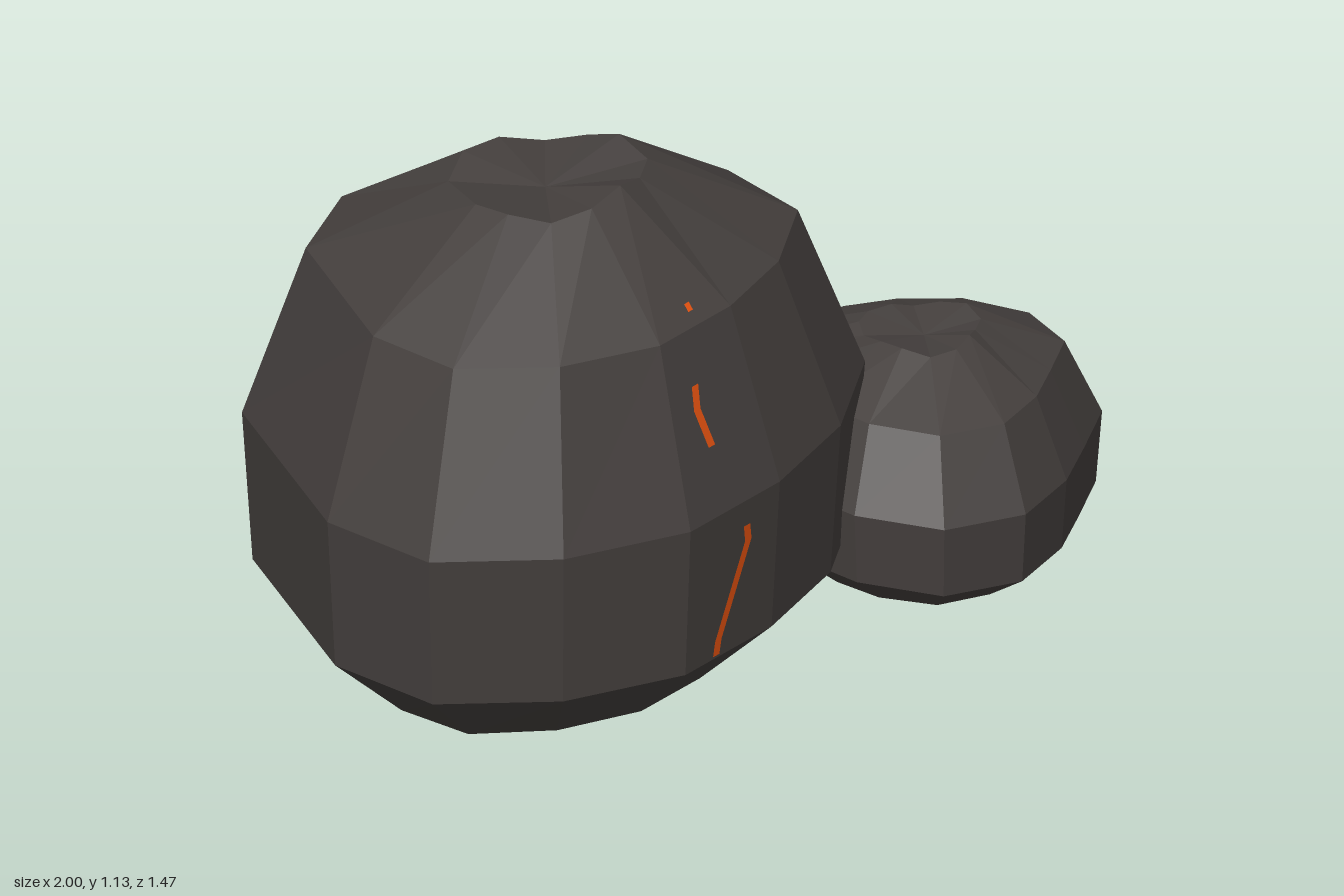
import * as THREE from 'three';

const rockMat = new THREE.MeshStandardMaterial({ color: 0x443f3d });
rockMat.name = 'charcoal rock';
rockMat.flatShading = true;
const emberMat = new THREE.MeshStandardMaterial({ color: 0xe0500f, side: THREE.DoubleSide });
emberMat.name = 'ember orange';

// Widest outline of each boulder as [x, z], its centre, and levels as [height, outline scale]
const boulders = [
  {
    name: 'largeBoulder', centre: [-0.3, 0.05], dip: 1.08, rough: 0.016,
    levels: [[0, 0.66], [0.185, 0.965], [0.535, 1], [0.925, 0.79], [1.112, 0.32]],
    outline: [[-0.47, -0.55], [-0.15, -0.52], [0.14, -0.37], [0.33, -0.15], [0.41, 0.06], [0.38, 0.35],
      [0.125, 0.52], [-0.16, 0.61], [-0.47, 0.64], [-0.76, 0.54], [-0.98, 0.35], [-1, 0.07], [-0.76, -0.41]],
  },
  {
    name: 'mediumBoulder', centre: [0.59, 0.325], dip: 0.505, rough: 0.008,
    levels: [[0, 0.65], [0.1, 0.965], [0.265, 1], [0.445, 0.79], [0.527, 0.32]],
    outline: [[0.47, -0.08], [0.66, -0.04], [0.8, 0.03], [0.93, 0.15], [1, 0.33], [0.95, 0.51], [0.8, 0.6],
      [0.66, 0.68], [0.48, 0.73], [0.3, 0.66], [0.21, 0.48], [0.2, 0.3], [0.24, 0.1], [0.33, -0.03]],
  },
  {
    name: 'smallBoulder', centre: [0.23, -0.47], dip: 0.33, rough: 0.006,
    levels: [[0, 0.65], [0.06, 0.965], [0.168, 1], [0.285, 0.79], [0.347, 0.32]],
    outline: [[0.16, -0.735], [0.275, -0.725], [0.41, -0.68], [0.515, -0.6], [0.53, -0.47], [0.49, -0.36],
      [0.425, -0.28], [0.3, -0.21], [0.15, -0.2], [0.03, -0.25], [-0.05, -0.36], [-0.06, -0.47],
      [-0.055, -0.585], [0.03, -0.69]],
  },
];

function meshFrom(name, positions, index, material) {
  const geometry = new THREE.BufferGeometry();
  geometry.setAttribute('position', new THREE.Float32BufferAttribute(positions, 3));
  geometry.setIndex(index);
  geometry.computeVertexNormals();
  const mesh = new THREE.Mesh(geometry, material);
  mesh.name = name;
  return mesh;
}

// Stacked rings, closed by a flat base and a shallow hollow on top
function boulder({ name, centre: [cx, cz], dip, rough, levels, outline }) {
  const n = outline.length, top = levels.length - 1;
  const positions = [], index = [];
  levels.forEach(([y, s], level) => {
    outline.forEach(([x, z], i) => {
      let h = y;
      if (level === top) h += rough * Math.sin(i * 1.9 + 0.6);
      else if (level > 0) h -= (z - cz) * 0.035;
      positions.push(cx + (x - cx) * s, h, cz + (z - cz) * s);
    });
  });
  const base = n * levels.length, hollow = base + 1;
  positions.push(cx, 0, cz, cx, dip, cz);
  for (let i = 0; i < n; i++) {
    const j = (i + 1) % n;
    for (let level = 0; level < top; level++) {
      const a = level * n, b = a + n;
      index.push(a + i, b + i, a + j, a + j, b + i, b + j);
    }
    index.push(base, i, j, hollow, top * n + j, top * n + i);
  }
  return meshFrom(name, positions, index, rockMat);
}

// Depth of the large boulder's front face at a point
function frontZ(x, y) {
  const { centre: [cx, cz], levels } = boulders[0];
  const rings = levels.map(([h, s], i) => [i > 0 && i < 4 ? h - 0.02 : h, s]);
  let k = 0;
  while (k < 3 && y > rings[k + 1][0]) k++;
  const [y0, s0] = rings[k], [y1, s1] = rings[k + 1];
  const s = s0 + (s1 - s0) * (y - y0) / (y1 - y0);
  const xOutline = cx + (x - cx) / s;
  return cz + s * (0.64 - 0.097 * (xOutline + 0.47) - cz);
}

// Thin ribbon following the rock face
function crack(name, path, width) {
  const positions = [], index = [];
  path.forEach(([x, y], i) => {
    for (const side of [-1, 1]) {
      const px = x + side * width / 2;
      positions.push(px, y, frontZ(px, y) + 0.006);
    }
    if (i > 0) {
      const a = i * 2 - 2;
      index.push(a, a + 1, a + 2, a + 1, a + 3, a + 2);
    }
  });
  return meshFrom(name, positions, index, emberMat);
}

export function createModel() {
  const group = new THREE.Group();
  group.name = 'boulderCluster';
  boulders.forEach((spec) => group.add(boulder(spec)));
  group.add(
    crack('lowerCrack', [[-0.365, 0.175], [-0.36, 0.21], [-0.27, 0.42], [-0.277, 0.458]], 0.022),
    crack('middleCrack', [[-0.35, 0.66], [-0.37, 0.745], [-0.36, 0.795]], 0.022),
    crack('upperCrack', [[-0.3, 0.928], [-0.296, 0.94]], 0.016),
  );
  return group;
}
